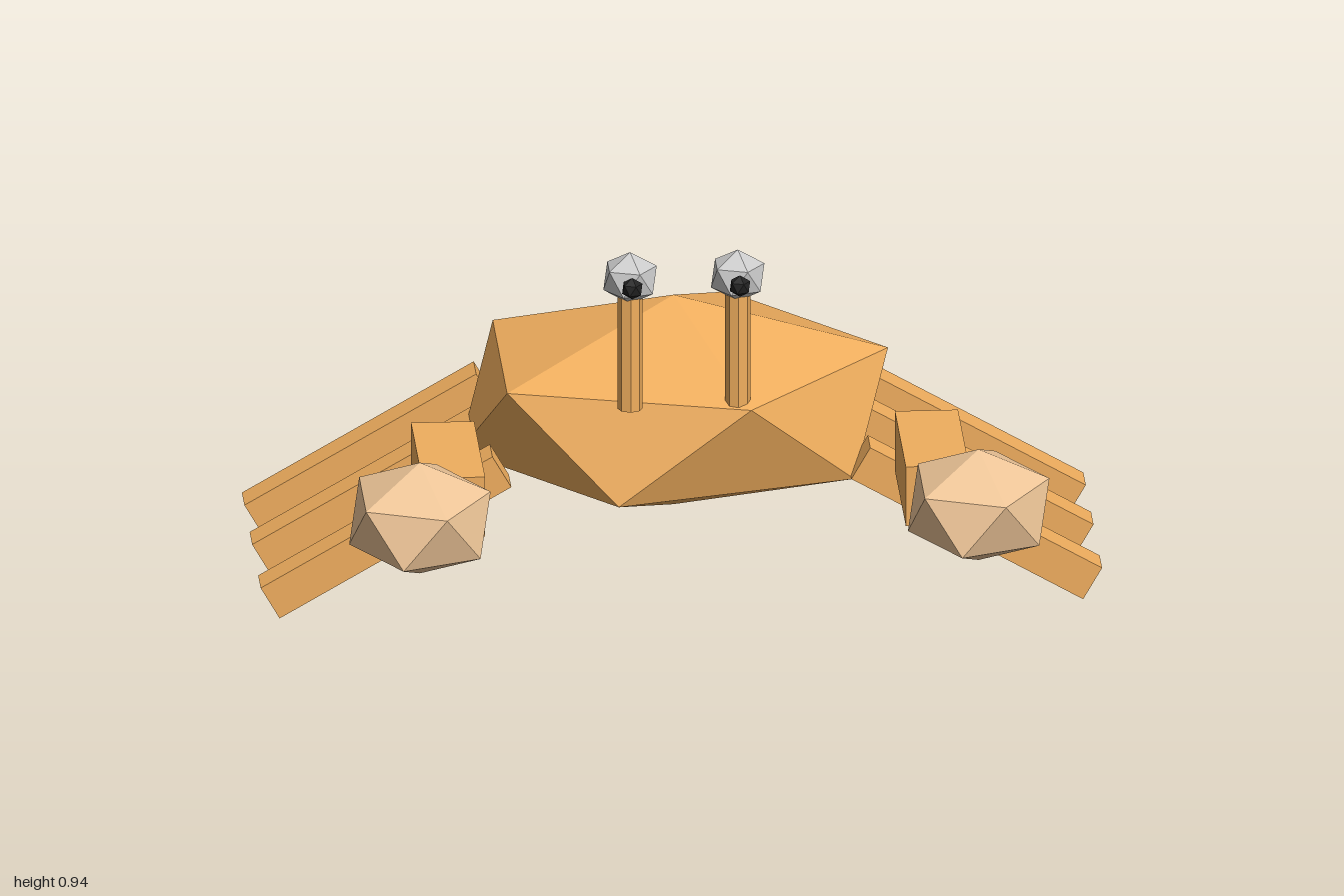
import * as THREE from 'three';
import { ConvexGeometry } from 'three/addons/geometries/ConvexGeometry.js';

const paint = (color) => new THREE.MeshStandardMaterial({ color, flatShading: true });

// Twenty-sided ball standing on a point, stretched to the given radii
function ball(rx, ry, rz) {
  const points = [new THREE.Vector3(0, ry, 0), new THREE.Vector3(0, -ry, 0)];
  const h = 1 / Math.sqrt(5), r = 2 / Math.sqrt(5);
  for (let i = 0; i < 10; i++) {
    const a = (i * Math.PI) / 5;
    const y = i % 2 === 0 ? h : -h;
    points.push(new THREE.Vector3(rx * r * Math.cos(a), ry * y, rz * r * Math.sin(a)));
  }
  return new ConvexGeometry(points);
}

export function createModel() {
  const model = new THREE.Group();
  const shell = paint(0xf0ae5e), clawTan = paint(0xf0c799);
  const grey = paint(0xcccccc), dark = paint(0x222222);

  function add(name, geometry, material, x, y, z) {
    const mesh = new THREE.Mesh(geometry, material);
    mesh.name = name;
    mesh.position.set(x, y, z);
    model.add(mesh);
    return mesh;
  }

  // Wide faceted body
  add('body', ball(0.57, 0.265, 0.476), shell, 0, 0.43, -0.343);

  const legShape = new THREE.BoxGeometry(0.636, 0.09, 0.086);
  const armShape = new THREE.BoxGeometry(0.15, 0.15, 0.38);
  const clawShape = ball(0.188, 0.14, 0.228);
  const stalkShape = new THREE.CylinderGeometry(0.03, 0.03, 0.3, 8);
  const eyeShape = ball(0.071, 0.065, 0.071);
  const pupilShape = ball(0.027, 0.027, 0.027);

  for (const s of [1, -1]) {
    const side = s > 0 ? 'left' : 'right';

    // Three sloping legs
    [-0.112, -0.408, -0.676].forEach((z, i) => {
      const leg = add(`${side}Leg${i + 1}`, legShape, shell, s * 0.702, 0.2, z);
      leg.rotation.z = (-s * Math.PI) / 6;
    });

    // Arm and claw
    add(`${side}Arm`, armShape, shell, s * 0.575, 0.455, 0.23);
    add(`${side}Claw`, clawShape, clawTan, s * 0.664, 0.48, 0.553);

    // Eye on a stalk
    add(`${side}EyeStalk`, stalkShape, shell, s * 0.128, 0.695, 0.018);
    add(`${side}Eye`, eyeShape, grey, s * 0.128, 0.875, 0.018);
    add(`${side}Pupil`, pupilShape, dark, s * 0.128, 0.877, 0.097);
  }
  return model;
}
